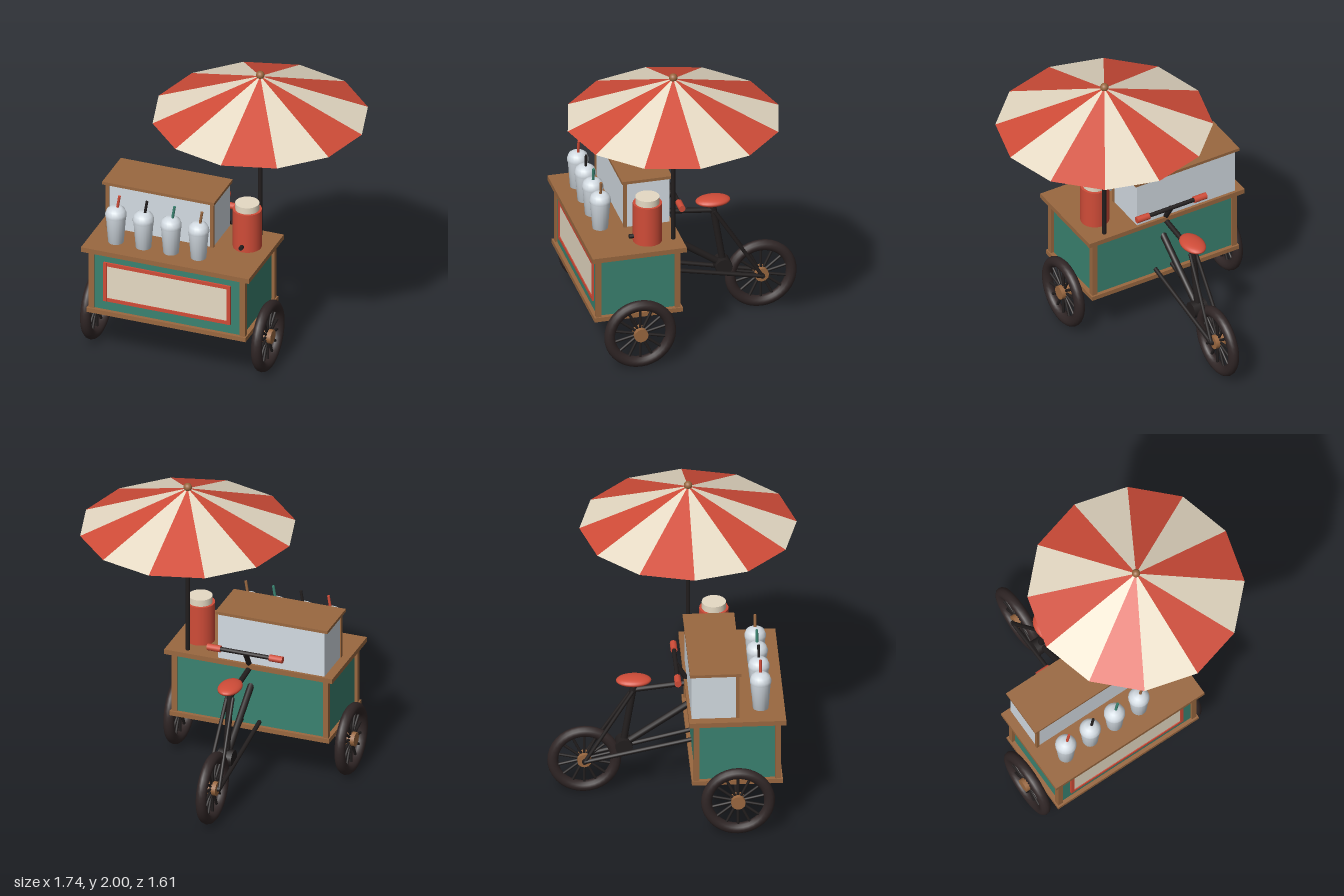
import * as THREE from 'three';

const paint = (name, color, side = THREE.FrontSide) => {
  const m = new THREE.MeshStandardMaterial({ color, side });
  m.name = name;
  return m;
};

export function createModel() {
  const root = new THREE.Group();
  root.name = 'vendorTricycle';
  const wood = paint('wood', 0x9a6840);
  const green = paint('green', 0x3a8270);
  const red = paint('red', 0xd04c38, THREE.DoubleSide);
  const cream = paint('cream', 0xe6dac4, THREE.DoubleSide);
  const glass = paint('paleGlass', 0xd3dbe2);
  const rubber = paint('rubber', 0x302626);
  const metal = paint('blackMetal', 0x221e1e);

  const CX = -0.255; // centre line of the cart
  const add = (name, geo, mat, x = 0, y = 0, z = 0, parent = root) => {
    const m = new THREE.Mesh(geo, mat);
    m.name = name;
    m.position.set(x, y, z);
    parent.add(m);
    return m;
  };
  // box given by its min and max on each axis
  const box = (name, mat, x0, x1, y0, y1, z0, z1) =>
    add(name, new THREE.BoxGeometry(x1 - x0, y1 - y0, z1 - z0), mat, (x0 + x1) / 2, (y0 + y1) / 2, (z0 + z1) / 2);
  // round bar between two points
  const rod = (name, mat, a, b, r, parent = root) => {
    const p = new THREE.Vector3(...a), q = new THREE.Vector3(...b);
    const d = q.clone().sub(p);
    const m = add(name, new THREE.CylinderGeometry(r, r, d.length(), 12), mat, 0, 0, 0, parent);
    m.position.copy(p).add(q).multiplyScalar(0.5);
    m.quaternion.setFromUnitVectors(new THREE.Vector3(0, 1, 0), d.normalize());
    return m;
  };

  // Cart body
  box('cartBody', green, CX - 0.51, CX + 0.51, 0.36, 0.78, 0.105, 0.632);
  box('baseTrim', wood, CX - 0.54, CX + 0.54, 0.335, 0.365, 0.08, 0.657);
  box('counterTop', wood, CX - 0.57, CX + 0.57, 0.777, 0.81, 0.062, 0.677);
  for (const s of [-1, 1]) for (const z of [0.11, 0.627]) {
    const x = CX + s * 0.513;
    box('cornerPost', wood, x - 0.018, x + 0.018, 0.36, 0.78, z - 0.018, z + 0.018);
  }
  // Sign panel with frame
  box('signPanel', cream, CX - 0.41, CX + 0.41, 0.45, 0.69, 0.632, 0.638);
  for (const s of [-1, 1]) {
    const x = CX + s * 0.419, y = 0.57 + s * 0.128;
    box('signFrameSide', red, x - 0.012, x + 0.012, 0.43, 0.71, 0.632, 0.645);
    box('signFrameRail', red, CX - 0.43, CX + 0.43, y - 0.012, y + 0.012, 0.632, 0.644);
  }

  // Display case
  box('displayCase', glass, -0.765, -0.045, 0.81, 1.13, 0.08, 0.375);
  box('displayLid', wood, -0.79, -0.03, 1.125, 1.145, 0.068, 0.395);
  for (const x of [-0.76, -0.05])
    box('displayPost', wood, x - 0.011, x + 0.011, 0.81, 1.13, 0.36, 0.382);

  // Cups with domed lids and straws
  const cupProfile = [[0, 0], [0.05, 0], [0.064, 0.18], [0.068, 0.185], [0.068, 0.205], [0.058, 0.232], [0.035, 0.248], [0, 0.253]]
    .map(p => new THREE.Vector2(...p));
  [red, metal, green, wood].forEach((mat, i) => {
    const x = -0.646 + i * 0.187;
    add('cup', new THREE.LatheGeometry(cupProfile, 20), glass, x, 0.81, 0.525);
    rod('straw', mat, [x + 0.006, 1.03, 0.525], [x + 0.024, 1.143, 0.525], 0.009);
  });

  // Drink dispenser
  add('dispenserTank', new THREE.CylinderGeometry(0.093, 0.093, 0.27, 24), red, 0.15, 0.945, 0.277);
  add('dispenserLid', new THREE.CylinderGeometry(0.077, 0.077, 0.045, 24), cream, 0.15, 1.102, 0.277);
  rod('dispenserTap', metal, [0.15, 0.85, 0.36], [0.15, 0.85, 0.397], 0.014);

  // Parasol: twelve flat panels in two colours
  const PX = 0.175, PZ = 0.115;
  rod('parasolPole', metal, [PX, 0.8, PZ], [PX, 1.965, PZ], 0.014);
  for (let i = 0; i < 12; i++) {
    const canopy = new THREE.ConeGeometry(0.69, 0.285, 1, 1, true, i * Math.PI / 6, Math.PI / 6);
    canopy.deleteAttribute('normal');
    const flat = canopy.toNonIndexed();
    flat.computeVertexNormals();
    add('parasolPanel', flat, i % 2 ? cream : red, PX, 1.8225, PZ);
  }
  add('parasolFinial', new THREE.SphereGeometry(0.027, 16, 12), wood, PX, 1.973, PZ);

  // Wheels
  const wheel = (name, x, z) => {
    const g = new THREE.Group();
    g.name = name;
    g.position.set(x, 0.238, z);
    add('tyre', new THREE.TorusGeometry(0.2, 0.035, 12, 36), rubber, 0, 0, 0, g).rotation.y = Math.PI / 2;
    rod('hub', wood, [-0.035, 0, 0], [0.035, 0, 0], 0.046, g);
    for (let i = 0; i < 14; i++) {
      const a = i * Math.PI / 7, c = Math.cos(a), s = Math.sin(a);
      rod('spoke', metal, [0, c * 0.03, s * 0.03], [0, c * 0.18, s * 0.18], 0.009, g);
    }
    root.add(g);
  };
  wheel('leftWheel', CX + 0.58, 0.37);
  wheel('rightWheel', CX - 0.58, 0.37);
  wheel('rearWheel', CX, -0.57);
  rod('frontAxle', metal, [CX - 0.58, 0.238, 0.37], [CX + 0.58, 0.238, 0.37], 0.015);
  rod('rearAxle', metal, [CX - 0.055, 0.238, -0.57], [CX + 0.055, 0.238, -0.57], 0.016);

  // Cycle frame
  rod('topTube', metal, [CX, 0.775, 0.1], [CX, 0.735, -0.26], 0.017);
  rod('seatTube', metal, [CX, 0.79, -0.252], [CX, 0.335, -0.325], 0.022);
  rod('downTube', metal, [CX, 0.64, 0.12], [CX, 0.335, -0.325], 0.022);
  rod('pedalShell', metal, [CX - 0.05, 0.335, -0.32], [CX + 0.05, 0.335, -0.32], 0.055);
  for (const s of [-1, 1]) {
    rod('chainStay', metal, [CX + s * 0.06, 0.39, 0.11], [CX + s * 0.046, 0.238, -0.57], 0.014);
    rod('seatStay', metal, [CX + s * 0.02, 0.735, -0.26], [CX + s * 0.046, 0.238, -0.57], 0.012);
  }
  add('seat', new THREE.SphereGeometry(1, 24, 14), red, CX, 0.805, -0.257).scale.set(0.075, 0.03, 0.113);

  // Handlebar
  rod('handlebarStem', metal, [CX, 0.795, 0.085], [CX, 0.915, 0.012], 0.017);
  rod('handlebar', metal, [CX - 0.24, 0.915, 0.01], [CX + 0.24, 0.915, 0.01], 0.014);
  for (const s of [-1, 1])
    rod('grip', red, [CX + s * 0.165, 0.915, 0.01], [CX + s * 0.255, 0.915, 0.01], 0.022);

  return root;
}
